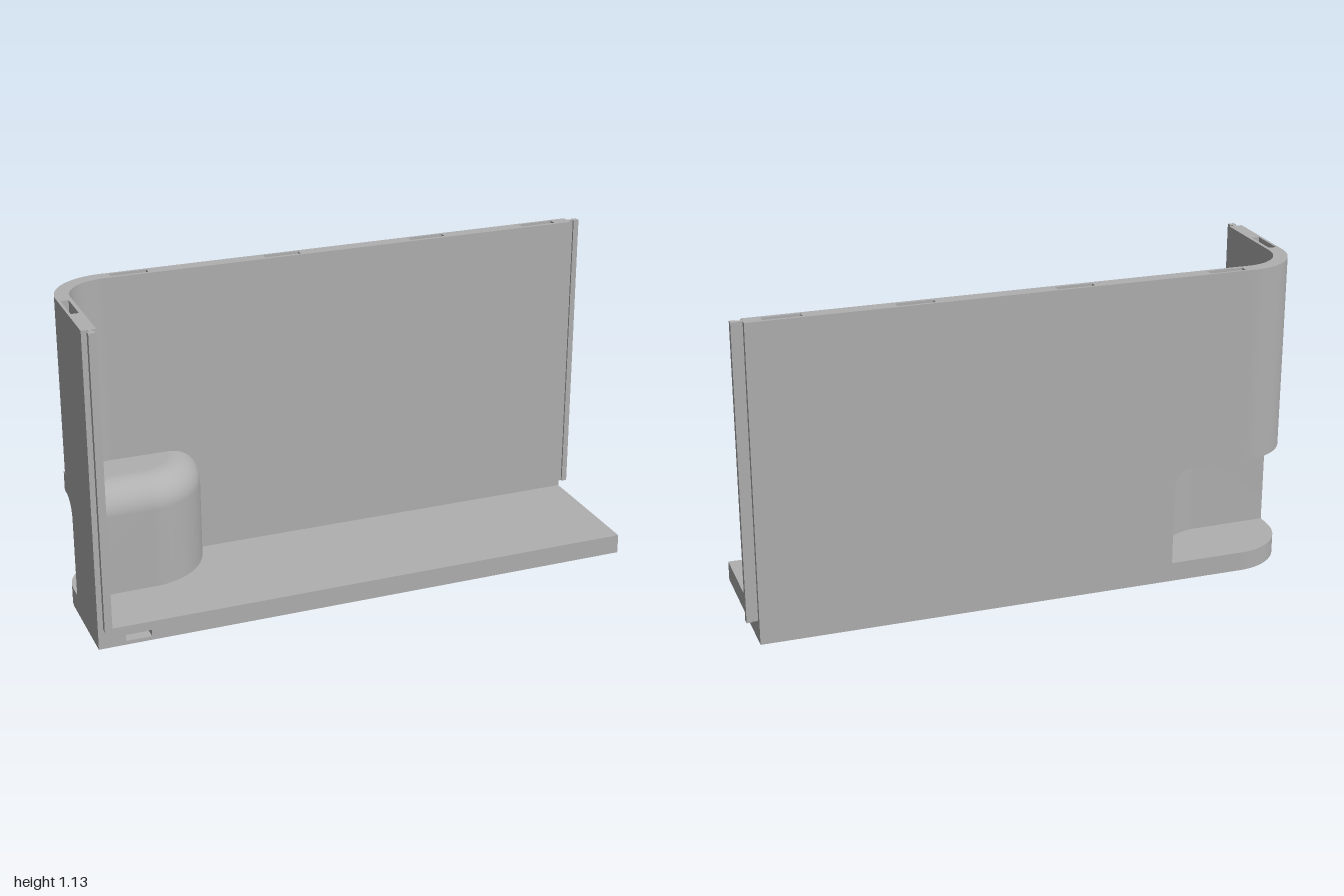
import * as THREE from 'three';
import { toCreasedNormals } from 'three/addons/utils/BufferGeometryUtils.js';

const LEFT = -1, RIGHT = 0.96, BACK = -0.28, FRONT = 0.245;
const WALL = 0.05, FLOOR = 0.07, TOP = 1.13, CORNER = 0.2;

export function createModel() {
  const group = new THREE.Group();
  const grey = new THREE.MeshStandardMaterial({ color: 0xb0b0b0, side: THREE.DoubleSide });
  grey.name = 'plain grey';

  const add = (name, geometry) => {
    const mesh = new THREE.Mesh(geometry, grey);
    mesh.name = name;
    group.add(mesh);
    return mesh;
  };
  const extrude = (shape, depth) => toCreasedNormals(
    new THREE.ExtrudeGeometry(shape, { depth, bevelEnabled: false, curveSegments: 24 }), 0.5);
  // Plan shapes use (x, -z) and are raised from y0 to y1
  const raise = (shape, y0, y1) => extrude(shape, y1 - y0).rotateX(-Math.PI / 2).translate(0, y0, 0);
  const box = (name, x0, x1, y0, y1, z0, z1) => {
    const mesh = add(name, new THREE.BoxGeometry(x1 - x0, y1 - y0, z1 - z0));
    mesh.position.set((x0 + x1) / 2, (y0 + y1) / 2, (z0 + z1) / 2);
  };
  const rect = (shape, x0, x1, y0, y1) =>
    shape.moveTo(x0, y0).lineTo(x1, y0).lineTo(x1, y1).lineTo(x0, y1).closePath();

  const cx = LEFT + CORNER, cz = BACK + CORNER;
  const arc = (shape, r, from, to, cw) => shape.absarc(cx, -cz, r, from, to, cw);

  // Base slab with one rounded corner, and a front strip with a slot
  const strip = 0.04;
  const baseShape = new THREE.Shape();
  baseShape.moveTo(LEFT, -FRONT + strip).lineTo(RIGHT, -FRONT + strip).lineTo(RIGHT, -BACK).lineTo(cx, -BACK);
  arc(baseShape, CORNER, Math.PI / 2, Math.PI, false);
  baseShape.closePath();
  add('base', raise(baseShape, 0, FLOOR));
  const stripShape = rect(new THREE.Shape(), LEFT, RIGHT, 0, FLOOR);
  stripShape.holes.push(rect(new THREE.Path(), -0.905, -0.815, 0.014, 0.038));
  add('baseFrontEdge', extrude(stripShape, strip).translate(0, 0, FRONT - strip));

  // Upper L-shaped wall, its rim pierced by slots
  const wallPlan = () => {
    const s = new THREE.Shape();
    s.moveTo(LEFT, -FRONT).lineTo(LEFT + WALL, -FRONT).lineTo(LEFT + WALL, -cz);
    arc(s, CORNER - WALL, Math.PI, Math.PI / 2, true);
    s.lineTo(RIGHT, -BACK - WALL).lineTo(RIGHT, -BACK).lineTo(cx, -BACK);
    arc(s, CORNER, Math.PI / 2, Math.PI, false);
    return s.closePath();
  };
  const split = 0.5, rimY = 1.08;
  add('upperWall', raise(wallPlan(), split, rimY));
  const rim = wallPlan();
  for (const x of [-0.77, -0.22, 0.33, 0.77])
    rim.holes.push(rect(new THREE.Path(), x, x + 0.13, 0.243, 0.27));
  rim.holes.push(rect(new THREE.Path(), -0.99, -0.963, -0.08, 0.055));
  add('slottedRim', raise(rim, rimY, TOP));

  // Lower wall panels, notched for the corner recess
  const ceiling = 0.43, fillet = 0.07;
  const notched = (start, edge, end) => {
    const s = new THREE.Shape();
    s.moveTo(edge, FLOOR).lineTo(end, FLOOR).lineTo(end, split).lineTo(start, split)
      .lineTo(start, ceiling).lineTo(edge - fillet, ceiling);
    s.absarc(edge - fillet, ceiling - fillet, fillet, Math.PI / 2, 0, true);
    return s.closePath();
  };
  add('lowerBackWall', extrude(notched(cx, -0.53, RIGHT), WALL).translate(0, 0, BACK));
  const side = extrude(notched(cz - 0.04, -0.03, FRONT), WALL);
  add('lowerSideWall', side.rotateY(-Math.PI / 2).translate(LEFT + WALL, 0, 0));
  const cornerShape = new THREE.Shape();
  arc(cornerShape, CORNER, Math.PI / 2, Math.PI, false);
  arc(cornerShape, CORNER - WALL, Math.PI, Math.PI / 2, true);
  add('lowerCornerWall', raise(cornerShape.closePath(), ceiling, split));

  // Domed recess: a plan curve swept up, then inset around the top fillet
  const recess = (name, inset, top, r, depth) => {
    const x0 = LEFT + depth, z0 = BACK + depth;
    const curve = new THREE.CubicBezierCurve(
      new THREE.Vector2(-0.72, 0.005), new THREE.Vector2(-0.62, 0),
      new THREE.Vector2(-0.51, -0.08), new THREE.Vector2(-0.49, -0.23));
    const N = 24;
    const path = [{ p: new THREE.Vector2(x0, 0.01), n: new THREE.Vector2(0, -1) }];
    for (let i = 0; i <= N; i++) {
      const t = curve.getTangent(i / N);
      path.push({ p: curve.getPoint(i / N), n: new THREE.Vector2(t.y, -t.x) });
    }
    path.push({ p: new THREE.Vector2(-0.49, z0), n: new THREE.Vector2(-1, 0) });
    const profile = [[0, FLOOR]];
    for (let i = 0; i <= 12; i++) {
      const a = (i / 12) * Math.PI / 2;
      profile.push([r * (1 - Math.cos(a)), top - r + r * Math.sin(a)]);
    }
    const pos = [], index = [], cols = path.length;
    let loop;
    profile.forEach(([d, y], j) => {
      loop = path.map(({ p, n }) => p.clone().addScaledVector(n, d + inset));
      loop[cols - 1].y = z0;
      loop.forEach((q, i) => {
        pos.push(q.x, y, q.y);
        if (j && i) {
          const b = j * cols + i, a = b - cols;
          index.push(a - 1, a, b, a - 1, b, b - 1);
        }
      });
    });
    const geo = new THREE.BufferGeometry();
    geo.setAttribute('position', new THREE.Float32BufferAttribute(pos, 3));
    geo.setIndex(index);
    geo.computeVertexNormals();
    add(name + 'Side', geo);
    // Flat top closed along the rounded wall corner
    const cap = new THREE.Shape(loop.map((q) => new THREE.Vector2(q.x, -q.y)));
    cap.lineTo(cx, -z0);
    arc(cap, CORNER - depth, Math.PI / 2, Math.PI, false);
    cap.closePath();
    add(name + 'Top', new THREE.ShapeGeometry(cap, 24).rotateX(-Math.PI / 2).translate(0, top, 0));
  };
  recess('recessOuter', 0, 0.465, 0.105, 0.04);
  recess('recessInner', 0.04, ceiling, fillet, 0);

  // T-shaped connecting rails on the two free wall ends
  box('backRailNeck', RIGHT, 0.98, 0.08, TOP, -0.26, -0.249);
  box('backRailHead', 0.98, 1, 0.08, TOP, -0.265, -0.242);
  box('sideRailNeck', -0.978, -0.967, 0.08, TOP, FRONT, 0.26);
  box('sideRailHead', -0.985, -0.961, 0.08, TOP, 0.26, 0.28);
  return group;
}
